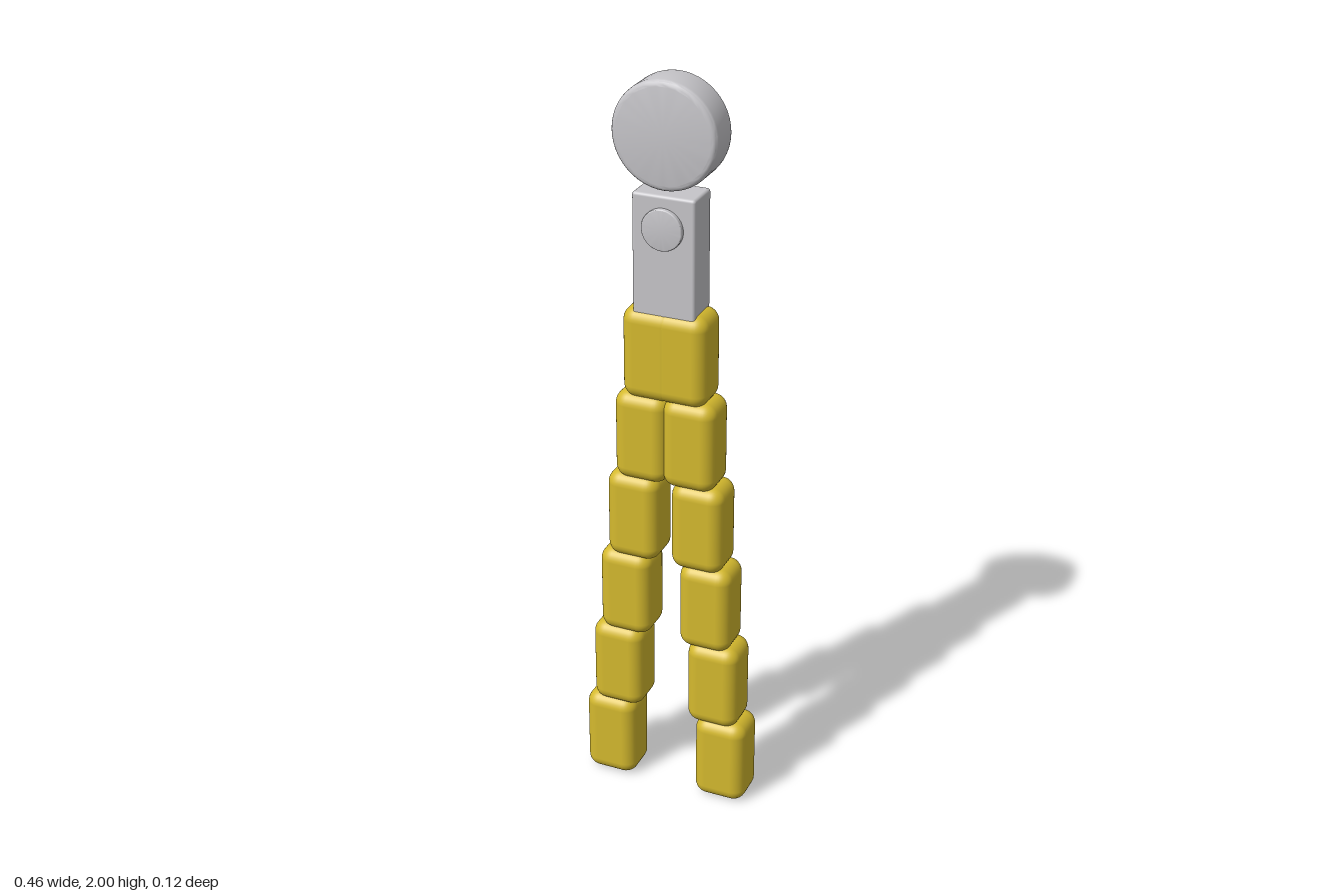
import * as THREE from 'three';
import { toCreasedNormals } from 'three/addons/utils/BufferGeometryUtils.js';
import { RoundedBoxGeometry } from 'three/addons/geometries/RoundedBoxGeometry.js';

const steel = new THREE.MeshStandardMaterial({ color: 0xc6c5c9 });
steel.name = 'steel grey';
const grip = new THREE.MeshStandardMaterial({ color: 0xd4b92e });
grip.name = 'grip yellow';

const MID_Z = -0.003;

// Round disc facing z, with a rounded rim
function disc(radius, depth, bevel) {
  const h = depth / 2;
  const pts = [new THREE.Vector2(0, -h)];
  for (const [cy, start] of [[-h + bevel, -Math.PI / 2], [h - bevel, 0]]) {
    for (let i = 0; i <= 4; i++) {
      const a = start + (i / 4) * (Math.PI / 2);
      pts.push(new THREE.Vector2(radius - bevel + Math.cos(a) * bevel, cy + Math.sin(a) * bevel));
    }
  }
  pts.push(new THREE.Vector2(0, h));
  const g = new THREE.LatheGeometry(pts, 48);
  g.rotateX(Math.PI / 2);
  return toCreasedNormals(g, 0.5);
}

export function createModel() {
  const model = new THREE.Group();
  model.name = 'pliers';

  function add(parent, name, geometry, material, x, y) {
    const mesh = new THREE.Mesh(geometry, material);
    mesh.name = name;
    mesh.position.set(x, y, MID_Z);
    parent.add(mesh);
  }

  // Head, neck block and pivot pin
  add(model, 'headDisc', disc(0.136, 0.103, 0.015), steel, 0, 1.864);
  add(model, 'neckBlock', new RoundedBoxGeometry(0.165, 0.33, 0.1, 3, 0.008), steel, 0, 1.553);
  add(model, 'pivotPin', disc(0.053, 0.125, 0.003), steel, 0, 1.635);

  // Two splayed handles, each a stepped stack of rounded grip blocks
  const block = new RoundedBoxGeometry(0.144, 0.246, 0.125, 4, 0.036);
  for (const side of [1, -1]) {
    const handle = new THREE.Group();
    handle.name = side > 0 ? 'leftHandle' : 'rightHandle';
    for (let i = 0; i < 6; i++) {
      add(handle, 'gripBlock' + (i + 1), block, grip, side * (0.16 - i * 0.0237), 0.126 + i * 0.2335);
    }
    model.add(handle);
  }
  return model;
}
